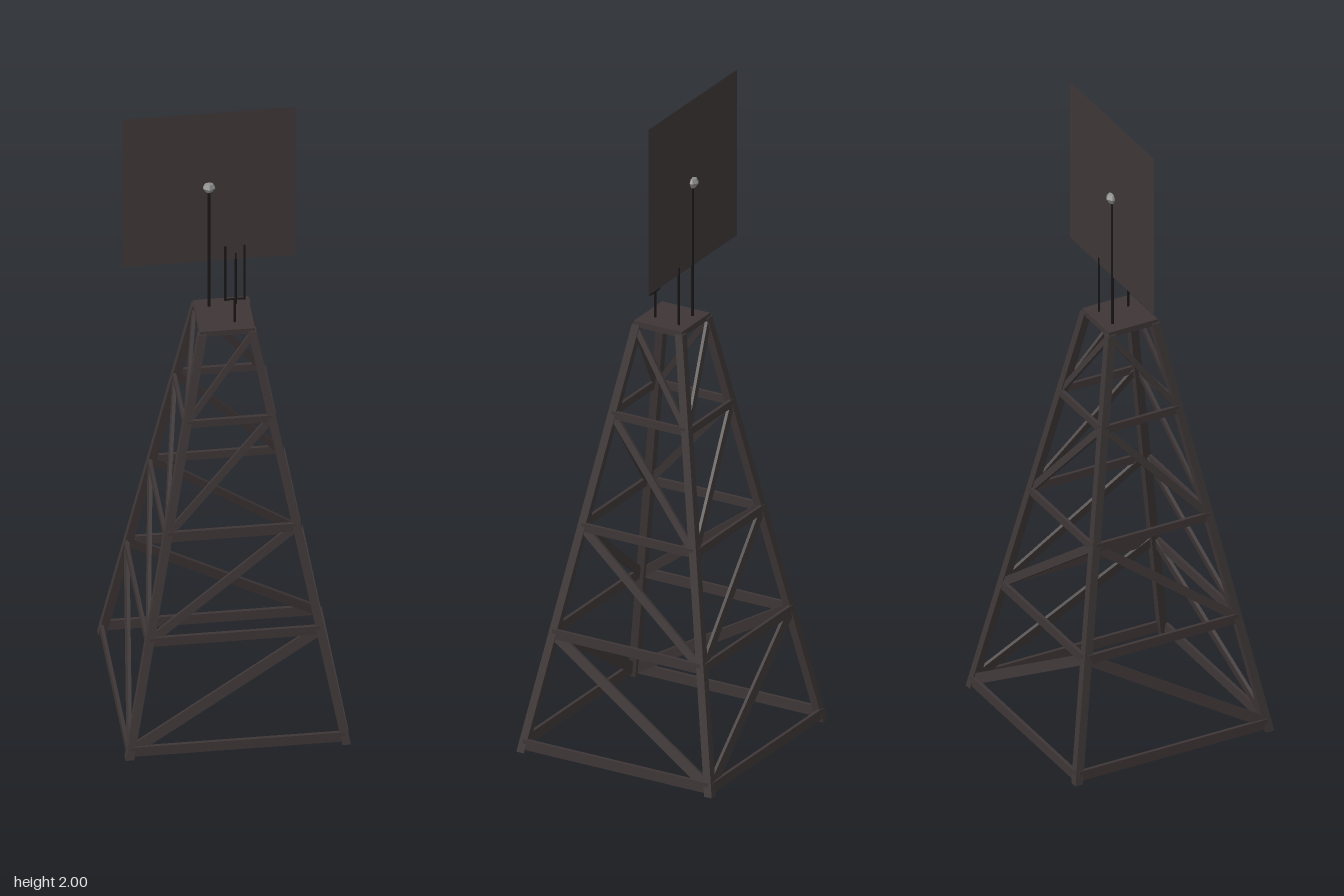
import * as THREE from 'three';

export function createModel() {
  const model = new THREE.Group();
  model.name = 'latticeMast';

  const mat = (name, color, side = THREE.FrontSide) => {
    const m = new THREE.MeshStandardMaterial({ side });
    m.color.setHex(color);
    m.name = name;
    return m;
  };
  const steel = mat('darkSteel', 0x3e3636);
  const panelSteel = mat('panelSteel', 0x3e3636, THREE.DoubleSide);
  const black = mat('blackRod', 0x181515);
  const grey = mat('lampGrey', 0x8c8c8c);
  grey.flatShading = true;

  const add = (parent, name, geo, material) => {
    const mesh = new THREE.Mesh(geo, material);
    mesh.name = name;
    parent.add(mesh);
    return mesh;
  };

  // Half width of the tapering frame at a height
  const halfAt = (y) => 0.315 - 0.1855 * y;

  // Flat bar between two points, its thin side facing the given direction
  const bar = (a, b, facing, width, depth) => {
    const dir = b.clone().sub(a);
    const length = dir.length();
    dir.normalize();
    const up = facing.clone().cross(dir).normalize();
    const out = dir.clone().cross(up);
    const geo = new THREE.BoxGeometry(length, width, depth);
    geo.applyMatrix4(new THREE.Matrix4().makeBasis(dir, up, out));
    const mid = a.clone().add(b).multiplyScalar(0.5);
    return geo.translate(mid.x, mid.y, mid.z);
  };

  // Four leaning legs with level ends
  const top = 1.31;
  for (const sx of [-1, 1]) {
    for (const sz of [-1, 1]) {
      const geo = new THREE.BoxGeometry(0.025, top, 0.025).translate(0, top / 2, 0);
      const p = geo.attributes.position;
      for (let i = 0; i < p.count; i++) {
        const h = halfAt(p.getY(i));
        p.setX(i, p.getX(i) + sx * h);
        p.setZ(i, p.getZ(i) + sz * h);
      }
      geo.computeVertexNormals();
      add(model, 'leg', geo, steel);
    }
  }

  // Girts and single diagonals on each side; neighbouring sides mirror each other
  const levels = [0.025, 0.363, 0.69, 1.034, 1.3];
  const girtHeight = [0.032, 0.03, 0.026, 0.024];
  const braceWidth = [0.032, 0.026, 0.022, 0.018];
  for (let side = 0; side < 4; side++) {
    const face = new THREE.Group();
    face.name = 'sideBracing';
    face.rotation.y = side * Math.PI / 2;
    const lean = side % 2 === 0 ? 1 : -1;
    const facing = new THREE.Vector3(0, 0.18, 1).normalize();
    for (let i = 0; i < 4; i++) {
      const h0 = halfAt(levels[i]);
      const h1 = halfAt(levels[i + 1]);
      const girt = new THREE.BoxGeometry(2 * h0, girtHeight[i], 0.01);
      girt.translate(0, levels[i], h0 + 0.007);
      add(face, 'girt', girt, steel);
      const a = new THREE.Vector3(-lean * h0, levels[i], h0 + 0.004);
      const b = new THREE.Vector3(lean * h1, levels[i + 1], h1 + 0.004);
      add(face, 'diagonalBrace', bar(a, b, facing, braceWidth[i], 0.01), steel);
    }
    model.add(face);
  }

  // Top platform
  add(model, 'topPlatform', new THREE.BoxGeometry(0.161, 0.018, 0.161), steel)
    .position.set(0, 1.311, 0);

  // Upright rods with few sides
  const rod = (name, x, z, y0, y1, r, sides) =>
    add(model, name, new THREE.CylinderGeometry(r, r, y1 - y0, sides), black)
      .position.set(x, (y0 + y1) / 2, z);
  rod('lampPole', -0.038, -0.046, 1.31, 1.73, 0.005, 6);
  rod('whipAntenna', 0.04, -0.047, 1.31, 1.5, 0.004, 3);
  rod('forkPost', 0.026, 0.041, 1.31, 1.4, 0.004, 4);
  rod('forkTine', -0.002, 0.044, 1.4, 1.59, 0.0035, 4);
  rod('forkTine', 0.054, 0.044, 1.4, 1.59, 0.0035, 4);

  // Bowed crossbar of the forked antenna
  const bow = new THREE.QuadraticBezierCurve3(
    new THREE.Vector3(-0.005, 1.4, 0.044),
    new THREE.Vector3(0.026, 1.4, 0.036),
    new THREE.Vector3(0.057, 1.4, 0.044));
  add(model, 'forkCrossbar', new THREE.TubeGeometry(bow, 6, 0.0035, 4), black);

  // Six-sided lamp on the tall pole
  const lampProfile = [[0, -0.02], [0.01, -0.013], [0.02, 0.003], [0.013, 0.015], [0, 0.018]]
    .map(([r, y]) => new THREE.Vector2(r, y));
  add(model, 'lamp', new THREE.LatheGeometry(lampProfile, 6), grey)
    .position.set(-0.038, 1.738, -0.046);

  // Thin square panel around the lamp
  add(model, 'panel', new THREE.PlaneGeometry(0.502, 0.522), panelSteel)
    .position.set(-0.038, 1.739, -0.047);

  return model;
}
